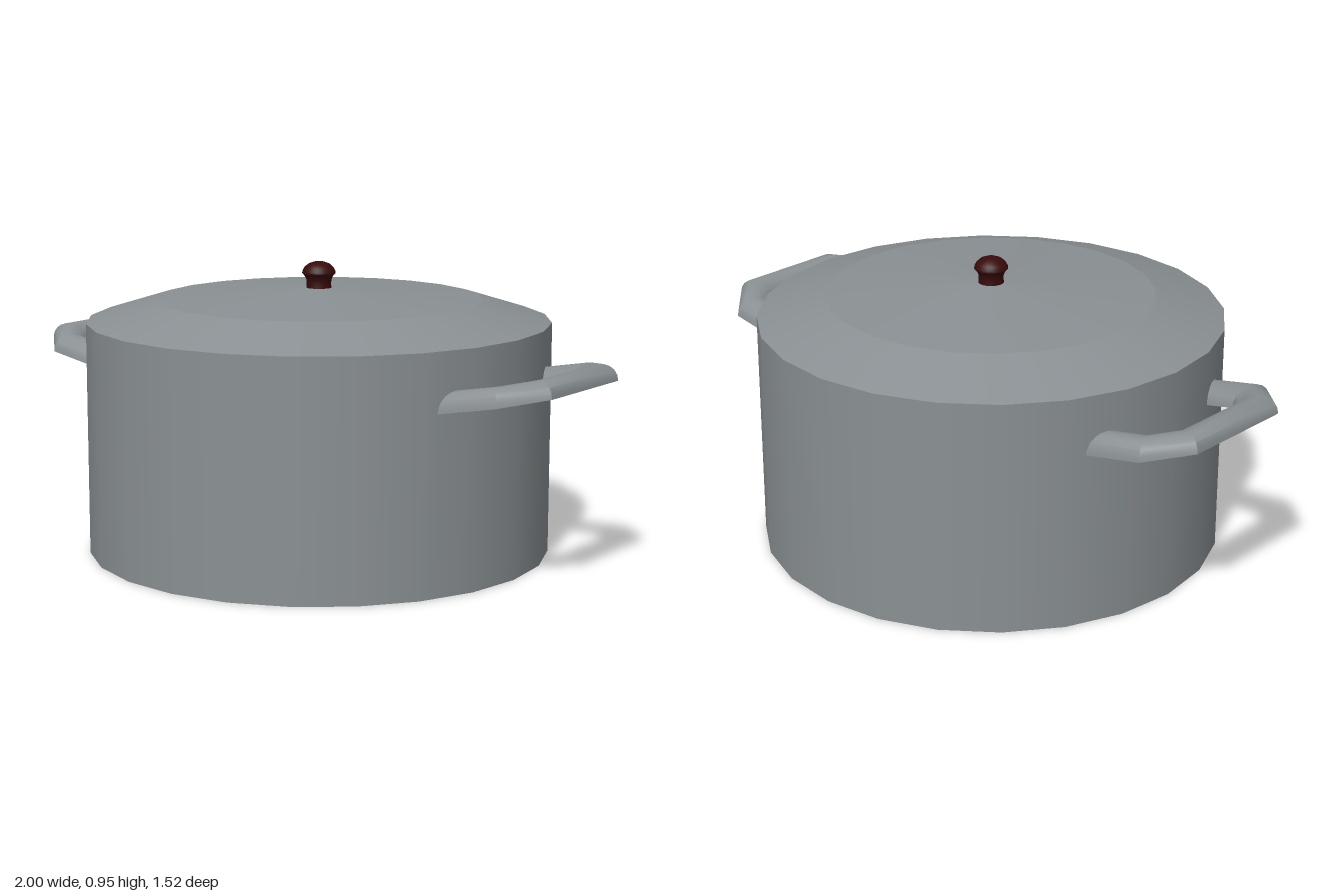
import * as THREE from 'three';
import { toCreasedNormals } from 'three/addons/utils/BufferGeometryUtils.js';

const SIDES = 24;

// Half-round bar (flat underside) swept along a chamfered U, tilted upwards outwards
function handleGeometry() {
  const path = [[0.62, 0.263], [0.855, 0.263], [0.94, 0.176], [0.94, -0.176], [0.855, -0.263], [0.62, -0.263]]
    .map(([x, z]) => new THREE.Vector2(x, z));
  const radius = 0.0615, steps = 10, ring = steps + 1, last = path.length - 1;
  const normalOf = (a, b) => {
    const d = b.clone().sub(a).normalize();
    return new THREE.Vector2(-d.y, d.x);
  };
  const positions = [], index = [];
  path.forEach((p, i) => {
    // Mitred half-circle section at each corner
    const n0 = normalOf(path[Math.max(i - 1, 0)], path[Math.max(i, 1)]);
    const n1 = normalOf(path[Math.min(i, last - 1)], path[Math.min(i + 1, last)]);
    const miter = n0.clone().add(n1).normalize();
    miter.divideScalar(miter.dot(n0));
    for (let k = 0; k <= steps; k++) {
      const a = (k / steps) * Math.PI;
      const side = Math.cos(a) * radius;
      const x = p.x + miter.x * side, z = p.y + miter.y * side;
      positions.push(x, 0.631 + (x - 1) * 0.19 + Math.sin(a) * radius, z);
    }
    if (i === last) return;
    for (let k = 0; k < ring; k++) {
      const a = i * ring + k, b = i * ring + (k + 1) % ring;
      index.push(a, a + ring, b, b, a + ring, b + ring);
    }
  });
  // End caps
  const end = last * ring;
  for (let k = 1; k < steps; k++) {
    index.push(0, k, k + 1, end, end + k + 1, end + k);
  }
  const geometry = new THREE.BufferGeometry();
  geometry.setAttribute('position', new THREE.Float32BufferAttribute(positions, 3));
  geometry.setIndex(index);
  return toCreasedNormals(geometry, 0.6);
}

const lathe = (profile) =>
  new THREE.LatheGeometry(profile.map(([r, y]) => new THREE.Vector2(r, y)), SIDES);

export function createModel() {
  const pot = new THREE.Group();
  pot.name = 'cookingPot';

  const steel = new THREE.MeshStandardMaterial({ color: 0x8a9093 });
  steel.name = 'brushed steel';
  const darkRed = new THREE.MeshStandardMaterial({ color: 0x380b0b });
  darkRed.name = 'dark red knob';

  const add = (name, geometry, material, y = 0) => {
    const mesh = new THREE.Mesh(geometry, material);
    mesh.name = name;
    mesh.position.y = y;
    pot.add(mesh);
    return mesh;
  };

  // Body and two-slope lid
  add('body', new THREE.CylinderGeometry(0.76, 0.76, 0.76, SIDES), steel, 0.38);
  add('lidRim', new THREE.CylinderGeometry(0.535, 0.76, 0.07, SIDES, 1, true), steel, 0.795);
  add('lidTop', new THREE.CylinderGeometry(0, 0.535, 0.037, SIDES, 1, true), steel, 0.8485);

  // Knob: waisted neck under a domed cap
  add('knobNeck', lathe([[0.043, 0.855], [0.04, 0.875], [0.041, 0.89], [0.047, 0.903], [0.055, 0.912]]), darkRed);
  add('knobCap', lathe([[0.055, 0.912], [0.054, 0.919], [0.048, 0.93], [0.036, 0.941], [0.019, 0.948], [0, 0.95]]), darkRed);

  // Side handles
  const handle = handleGeometry();
  add('leftHandle', handle, steel);
  add('rightHandle', handle, steel).rotation.y = Math.PI;

  return pot;
}
